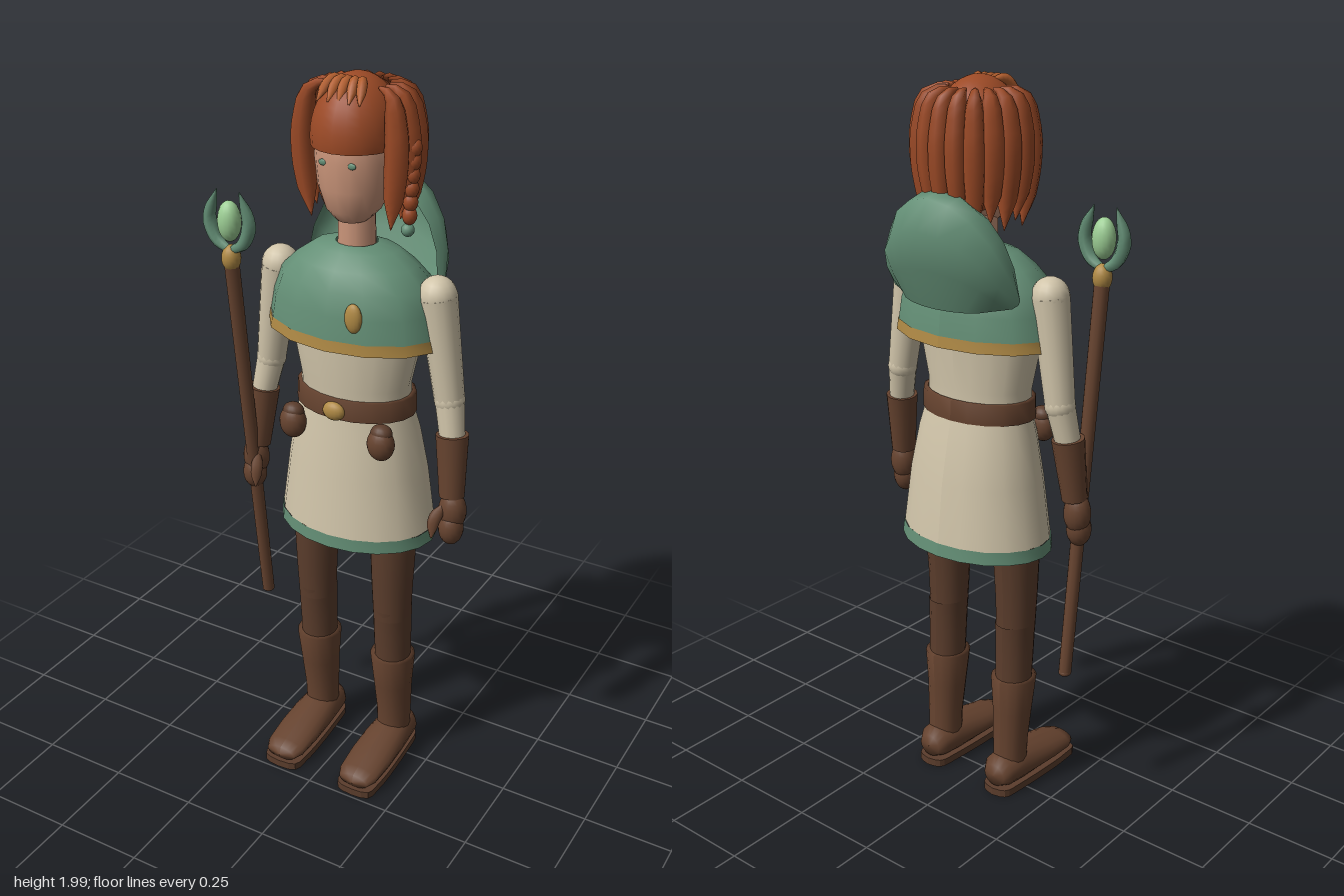
import * as THREE from 'three';

const V = (x, y, z) => new THREE.Vector3(x, y, z);
const material = (name, color) => {
  const m = new THREE.MeshStandardMaterial({ color, side: THREE.DoubleSide });
  m.name = name;
  return m;
};

// Stacked ellipses, bottom to top: [y, radiusX, radiusZ, centreZ]
function loft(rings, sides = 16) {
  const geo = new THREE.LatheGeometry(rings.map(r => new THREE.Vector2(r[1], r[0])), sides, Math.PI);
  const p = geo.attributes.position;
  for (let i = 0; i < p.count; i++) {
    const [, rx, rz, cz = 0] = rings[i % rings.length];
    p.setZ(i, p.getZ(i) * rz / rx + cz);
  }
  geo.computeVertexNormals();
  return geo;
}

// Tube along a smooth path whose radius follows a list
function taper(points, radii, steps = 14, sides = 7) {
  const curve = new THREE.CatmullRomCurve3(points);
  const geo = new THREE.TubeGeometry(curve, steps, 1, sides);
  const p = geo.attributes.position, v = V(0, 0, 0);
  for (let i = 0; i < p.count; i++) {
    const u = Math.floor(i / (sides + 1)) / steps;
    const t = u * (radii.length - 1), k = Math.min(Math.floor(t), radii.length - 2);
    const r = THREE.MathUtils.lerp(radii[k], radii[k + 1], t - k);
    const c = curve.getPointAt(u);
    v.fromBufferAttribute(p, i).sub(c).multiplyScalar(r).add(c);
    p.setXYZ(i, v.x, v.y, v.z);
  }
  return geo;
}

// Straight limb from a (radius ra) to b (radius rb)
function limb(a, b, ra, rb, sides = 14) {
  const d = b.clone().sub(a);
  const geo = new THREE.CylinderGeometry(rb, ra, d.length(), sides);
  geo.applyQuaternion(new THREE.Quaternion().setFromUnitVectors(V(0, 1, 0), d.normalize()));
  const mid = a.clone().add(b).multiplyScalar(0.5);
  return geo.translate(mid.x, mid.y, mid.z);
}

const ball = (x, y, z, rx, ry = rx, rz = rx) =>
  new THREE.SphereGeometry(1, 16, 12).scale(rx, ry, rz).translate(x, y, z);

export function createModel() {
  const skin = material('skin', 0xc99479);
  const hair = material('hair', 0x9c4a26);
  const lightHair = material('light hair', 0xb5602f);
  const cream = material('cream cloth', 0xd0c4a9);
  const green = material('green cloth', 0x648f76);
  const gold = material('gold', 0xb08a45);
  const leather = material('leather', 0x66432f);
  const darkLeather = material('dark leather', 0x5b3d2c);
  const gem = material('gem', 0x9dcf95);

  const root = new THREE.Group();
  root.name = 'traveller';
  const body = new THREE.Group();
  body.name = 'body';
  body.position.x = 0.012;
  root.add(body);
  const add = (name, geo, mat, parent = body) => {
    const m = new THREE.Mesh(geo, mat);
    m.name = name;
    parent.add(m);
    return m;
  };

  // Legs, boots and shoes
  const soleShape = new THREE.Shape();
  soleShape.setFromPoints(new THREE.SplineCurve([
    [0, -0.095], [0.04, -0.08], [0.05, -0.02], [0.058, 0.1], [0.058, 0.18], [0.045, 0.235],
    [-0.045, 0.235], [-0.058, 0.18], [-0.058, 0.1], [-0.05, -0.02], [-0.04, -0.08], [0, -0.095],
  ].map(p => new THREE.Vector2(...p))).getPoints(36));
  for (const s of [-1, 1]) {
    const leg = new THREE.Group();
    leg.name = s > 0 ? 'leftLeg' : 'rightLeg';
    leg.position.x = s * 0.122;
    body.add(leg);
    add('thigh', loft([[0.49, 0.053, 0.056, 0.01], [0.6, 0.058, 0.06, 0.012], [0.75, 0.064, 0.068, 0.01],
      [0.95, 0.066, 0.072, 0]]), darkLeather, leg);
    add('shin', loft([[0.3, 0.05, 0.052, 0], [0.42, 0.053, 0.055, 0.005], [0.52, 0.054, 0.06, 0.008]]), darkLeather, leg);
    add('boot', loft([[0.07, 0.047, 0.05, -0.012], [0.15, 0.05, 0.05, -0.01], [0.25, 0.055, 0.058, -0.002],
      [0.35, 0.064, 0.066, 0.003], [0.352, 0.045, 0.046, 0.003]]), leather, leg);
    add('shoe', loft([[-0.09, 0.001, 0.001, -0.06], [-0.085, 0.035, 0.033, -0.06], [-0.06, 0.052, 0.047, -0.065],
      [0.0, 0.058, 0.051, -0.065], [0.05, 0.062, 0.046, -0.062], [0.13, 0.064, 0.036, -0.054],
      [0.2, 0.06, 0.027, -0.046], [0.23, 0.045, 0.02, -0.043], [0.238, 0.001, 0.001, -0.04]])
      .rotateX(Math.PI / 2), leather, leg);
    const sole = new THREE.ExtrudeGeometry(soleShape, { depth: 0.022, bevelEnabled: false });
    add('sole', sole.rotateX(Math.PI / 2).translate(0, 0.022, 0), darkLeather, leg);
  }

  // Tunic
  add('skirt', loft([[0.785, 0.222, 0.165, -0.011], [0.95, 0.2, 0.147, -0.01], [1.07, 0.178, 0.126, -0.006],
    [1.13, 0.16, 0.115, -0.003]], 20), cream);
  add('skirtTrim', loft([[0.75, 0.228, 0.169, -0.012], [0.786, 0.224, 0.166, -0.011]], 20), green);
  add('torso', loft([[1.12, 0.156, 0.107, 0], [1.2, 0.156, 0.106, 0.004], [1.33, 0.185, 0.116, 0.004],
    [1.45, 0.19, 0.115, 0], [1.53, 0.12, 0.08, 0]], 20), cream);

  // Belt with buckle and pouches
  add('belt', loft([[1.118, 0.16, 0.116], [1.12, 0.17, 0.121], [1.174, 0.168, 0.119], [1.176, 0.156, 0.108]], 20), leather);
  add('buckle', ball(0, 1.143, 0.12, 0.032, 0.026, 0.018), gold);
  for (const s of [-1, 1]) {
    add('pouch', ball(s * 0.133, 1.075, 0.108, 0.038, 0.046, 0.032), leather);
    add('pouchFlap', ball(s * 0.133, 1.105, 0.105, 0.03, 0.024, 0.026), darkLeather);
  }

  // Shoulder cape with trim and clasp
  add('cape', loft([[1.358, 0.246, 0.163], [1.42, 0.235, 0.157], [1.48, 0.212, 0.143], [1.525, 0.165, 0.115],
    [1.56, 0.115, 0.08], [1.572, 0.055, 0.052]], 14), green);
  add('capeTrim', loft([[1.33, 0.252, 0.168], [1.36, 0.247, 0.165]], 14), gold);
  add('clasp', ball(0.073, 1.425, 0.146, 0.024, 0.039, 0.014), gold);

  // Hood hanging behind the neck: arches [halfWidth, tipY, tipZ, topY, topZ]
  const arches = [[0.19, 1.475, -0.075, 1.705, -0.105], [0.2, 1.468, -0.085, 1.73, -0.15],
    [0.203, 1.46, -0.095, 1.715, -0.2], [0.195, 1.452, -0.11, 1.64, -0.24],
    [0.175, 1.447, -0.115, 1.54, -0.215], [0.15, 1.445, -0.115, 1.432, -0.175]];
  const pos = [], idx = [], N = 10;
  arches.forEach(([w, y0, z0, y1, z1], k) => {
    for (let i = 0; i <= N; i++) {
      const a = Math.PI * i / N, s = Math.sin(a);
      pos.push(w * Math.cos(a), y0 + (y1 - y0) * s, z0 + (z1 - z0) * s);
      if (k && i) {
        const d = k * (N + 1) + i, c = d - 1, b = d - N - 1, e = b - 1;
        idx.push(e, c, b, c, d, b);
      }
    }
  });
  const hood = new THREE.BufferGeometry();
  hood.setAttribute('position', new THREE.Float32BufferAttribute(pos, 3));
  hood.setIndex(idx);
  hood.computeVertexNormals();
  add('hood', hood, green);

  // Arms with gauntlets and hands
  for (const s of [-1, 1]) {
    const arm = new THREE.Group();
    arm.name = s > 0 ? 'leftArm' : 'rightArm';
    body.add(arm);
    const shoulder = V(s * 0.23, 1.465, 0), elbow = V(s * 0.27, 1.19, -0.005);
    const cuff = V(s * 0.288, 1.09, 0.008), wrist = V(s * 0.301, 0.93, 0.025);
    add('shoulder', ball(shoulder.x, shoulder.y, 0, 0.051, 0.054, 0.05), cream, arm);
    add('upperSleeve', limb(shoulder, elbow, 0.051, 0.04), cream, arm);
    add('elbow', ball(elbow.x, elbow.y, elbow.z, 0.041), cream, arm);
    add('lowerSleeve', limb(elbow, cuff, 0.039, 0.034), cream, arm);
    add('gauntlet', limb(cuff.clone().add(V(0, 0.01, 0)), wrist, 0.044, 0.034), leather, arm);
    add('palm', ball(s * 0.307, 0.89, 0.03, 0.038, 0.058, 0.035), leather, arm);
    add('fingers', ball(s * 0.308, 0.842, 0.038, 0.034, 0.048, 0.034), leather, arm);
    add('thumb', taper([V(s * 0.29, 0.91, 0.045), V(s * 0.277, 0.875, 0.075), V(s * 0.275, 0.825, 0.088)],
      [0.005, 0.018, 0.016, 0.002], 10), leather, arm);
  }

  // Neck, head and eyes
  add('neck', limb(V(0, 1.54, 0), V(0, 1.7, 0), 0.05, 0.046), skin);
  add('head', loft([[1.628, 0.001, 0.001, 0.02], [1.635, 0.04, 0.045, 0.02], [1.665, 0.07, 0.075, 0.015],
    [1.72, 0.095, 0.096, 0.006], [1.79, 0.106, 0.105, 0], [1.86, 0.1, 0.1, 0], [1.93, 0.06, 0.06, 0]], 18), skin);
  for (const s of [-1, 1])
    add('eye', ball(s * 0.04, 1.79, 0.097, 0.012, 0.008, 0.004).rotateY(0), green);

  // Hair: crown, back shell, hanging locks and fringe
  add('hairCrown', new THREE.SphereGeometry(1, 20, 12, 0, Math.PI * 2, 0, Math.PI * 0.54)
    .scale(0.113, 0.153, 0.123).translate(0, 1.84, 0), hair);
  add('hairBack', ball(0, 1.8, -0.045, 0.107, 0.15, 0.098), hair);
  const locks = 13;
  for (let i = 0; i < locks; i++) {
    const a = THREE.MathUtils.degToRad(-20 + 220 * i / (locks - 1));
    const drop = 0.02 * (i % 2);
    const at = (r, y) => V(r * Math.cos(a), y, -0.008 - r * Math.sin(a));
    add('lock', taper([at(0.075, 1.965), at(0.118, 1.95), at(0.138, 1.87), at(0.138, 1.77), at(0.12, 1.625 + drop)],
      [0.004, 0.025, 0.031, 0.031, 0.025, 0.001]), hair);
  }
  for (let i = -2; i <= 2; i++)
    add('fringe', taper([V(i * 0.012, 1.975, 0.015), V(i * 0.021, 1.98, 0.05), V(i * 0.029, 1.935, 0.093)],
      [0.003, 0.013, 0.013, 0.002], 10), lightHair);

  // Braid with a bead on the left side
  for (let i = 0; i < 6; i++)
    add('braid', ball(0.157 - 0.002 * i, 1.83 - 0.034 * i, 0, 0.019, 0.024, 0.019), hair);
  add('braidBead', ball(0.143, 1.622, 0, 0.017), green);

  // Staff, leaning forward at the top
  const staff = new THREE.Group();
  staff.name = 'staff';
  staff.position.set(-0.292, 0, 0);
  root.add(staff);
  add('shaft', limb(V(0, 0.425, -0.005), V(0, 1.5, 0.118), 0.018, 0.021, 10), leather, staff);
  add('shaftTip', ball(0, 0.428, -0.005, 0.018, 0.012, 0.018), leather, staff);
  add('collar', ball(0, 1.505, 0.118, 0.026, 0.036, 0.026), gold, staff);
  add('gem', ball(0, 1.604, 0.12, 0.032, 0.054, 0.03), gem, staff);
  for (const s of [-1, 1])
    add('leaf', taper([V(0, 1.525, 0.12), V(s * 0.04, 1.55, 0.12), V(s * 0.06, 1.605, 0.12), V(s * 0.034, 1.685, 0.122)],
      [0.01, 0.017, 0.019, 0.015, 0.001]), green, staff);

  return root;
}
